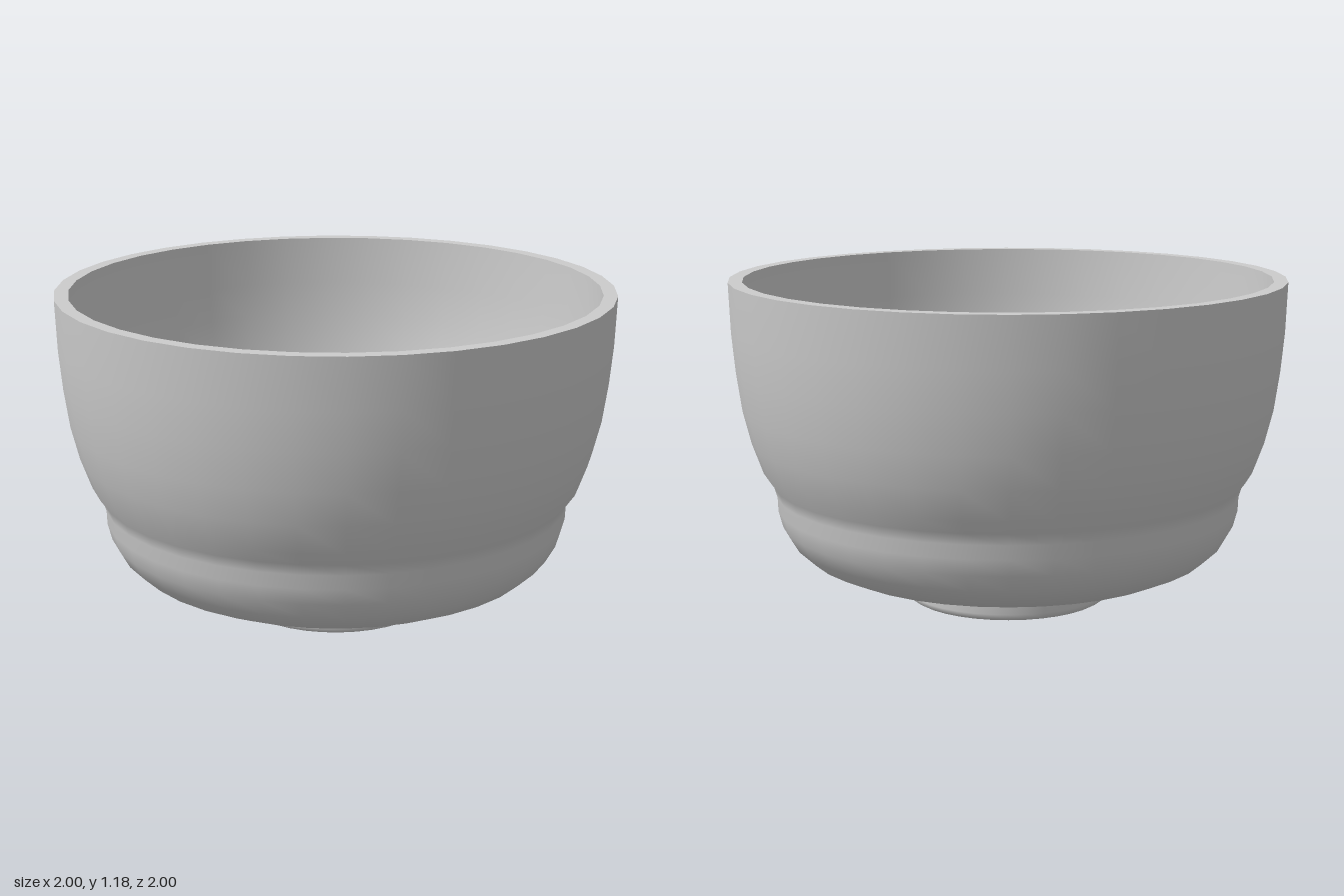
import * as THREE from 'three';

const SIDES = 36;
const material = new THREE.MeshStandardMaterial({ color: 0xcccccc });

// Turns one smooth stretch of the profile; separate stretches meet in a sharp edge
function turned(name, profile) {
  const points = profile.map(([r, y]) => new THREE.Vector2(r, y));
  const mesh = new THREE.Mesh(new THREE.LatheGeometry(points, SIDES), material);
  mesh.name = name;
  return mesh;
}

export function createModel() {
  const bowl = new THREE.Group();
  bowl.name = 'bowl';

  // Foot: flat base and a short ring with a softened lower edge
  bowl.add(turned('footBase', [[0, 0], [0.35, 0]]));
  bowl.add(turned('footRing', [[0.35, 0], [0.364, 0.008], [0.37, 0.025], [0.37, 0.09]]));

  // Outer wall: rounded belly, shallow waist, flaring upper wall
  bowl.add(turned('outerWall', [
    [0.37, 0.09], [0.52, 0.103], [0.64, 0.132], [0.73, 0.173], [0.79, 0.228],
    [0.825, 0.29], [0.841, 0.35], [0.843, 0.40], [0.855, 0.44], [0.89, 0.49],
    [0.93, 0.60], [0.96, 0.72], [0.98, 0.86], [0.993, 1.0], [1.0, 1.18],
  ]));

  // Flat rim
  bowl.add(turned('rim', [[1.0, 1.18], [0.95, 1.18]]));

  // Inner wall follows the outer one, with a crease at the waist
  bowl.add(turned('innerUpperWall', [
    [0.95, 1.18], [0.943, 1.0], [0.93, 0.87], [0.91, 0.73], [0.88, 0.61],
    [0.845, 0.52], [0.815, 0.465], [0.803, 0.43],
  ]));
  bowl.add(turned('innerLowerWall', [
    [0.803, 0.43], [0.795, 0.36], [0.78, 0.31], [0.75, 0.26], [0.70, 0.215],
    [0.62, 0.178], [0.51, 0.153], [0.35, 0.14],
  ]));

  // Flat inside floor
  bowl.add(turned('innerFloor', [[0.35, 0.14], [0, 0.14]]));

  return bowl;
}
